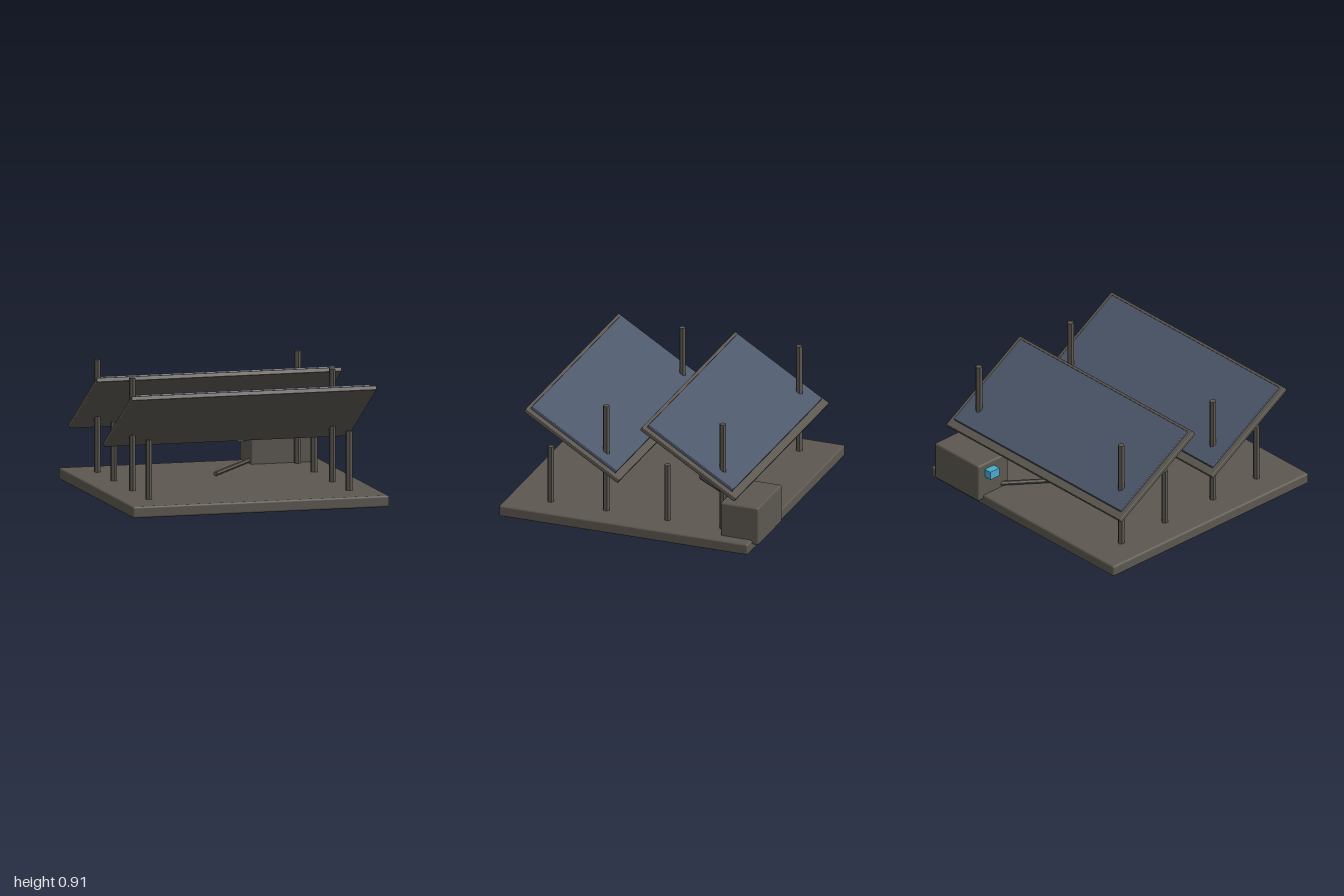
import * as THREE from 'three';
import { RoundedBoxGeometry } from 'three/addons/geometries/RoundedBoxGeometry.js';

export function createModel() {
  const model = new THREE.Group();
  model.name = 'solarArray';

  const makeMaterial = (name, color) => {
    const m = new THREE.MeshStandardMaterial({ color });
    m.name = name;
    return m;
  };
  const metal = makeMaterial('darkWarmMetal', 0x5c5750);
  const cell = makeMaterial('slateBlueCell', 0x4d576b);
  const light = makeMaterial('cyanIndicator', 0x4aaacf);

  const add = (name, geometry, material, x, y, z, parent = model) => {
    const mesh = new THREE.Mesh(geometry, material);
    mesh.name = name;
    mesh.position.set(x, y, z);
    parent.add(mesh);
    return mesh;
  };
  const block = (w, h, d, r) => new RoundedBoxGeometry(w, h, d, 2, r);
  const hexRod = (radius, length) =>
    new THREE.CylinderGeometry(radius, radius, length, 6).toNonIndexed();
  const flat = (geometry) => {
    geometry.computeVertexNormals();
    return geometry;
  };

  // Base slab
  add('base', block(1.95, 0.085, 1.95, 0.015), metal, 0, 0.0425, 0.025);

  // Two tilted panels, each on two short and two tall posts
  const baseTop = 0.08;
  const tilt = -0.55;
  for (const [name, z] of [['frontPanel', 0.447], ['backPanel', -0.466]]) {
    const group = new THREE.Group();
    group.name = name;
    group.position.z = z;
    model.add(group);

    add('panelFrame', block(1.86, 0.035, 0.864, 0.006), metal, 0, 0.63, 0, group).rotation.x = tilt;
    add('solarCells', block(1.78, 0.026, 0.78, 0.005), cell, 0, 0.661, 0, group).rotation.x = tilt;

    for (const x of [-0.76, 0.76]) {
      for (const [post, top, pz] of [['shortPost', 0.522, 0.228], ['tallPost', 0.915, -0.206]]) {
        const h = top - baseTop;
        add(post, flat(hexRod(0.025, h)), metal, x, baseTop + h / 2, pz, group);
      }
    }
  }

  // Control box overhanging the back edge, with its side indicator
  add('controlBox', block(0.47, 0.295, 0.3, 0.015), metal, 0.65, 0.1975, -0.85);
  add('indicator', new THREE.BoxGeometry(0.08, 0.065, 0.09), light, 0.396, 0.267, -0.89);

  // Conduit running diagonally from the box to the middle of the base
  const from = new THREE.Vector3(0, 0.108, -0.2);
  const to = new THREE.Vector3(0.45, 0.108, -0.8);
  const direction = to.clone().sub(from);
  const mid = from.clone().lerp(to, 0.5);
  const conduit = add('conduit', flat(hexRod(0.017, direction.length())), metal, mid.x, mid.y, mid.z);
  conduit.quaternion.setFromUnitVectors(new THREE.Vector3(0, 1, 0), direction.normalize());

  return model;
}
